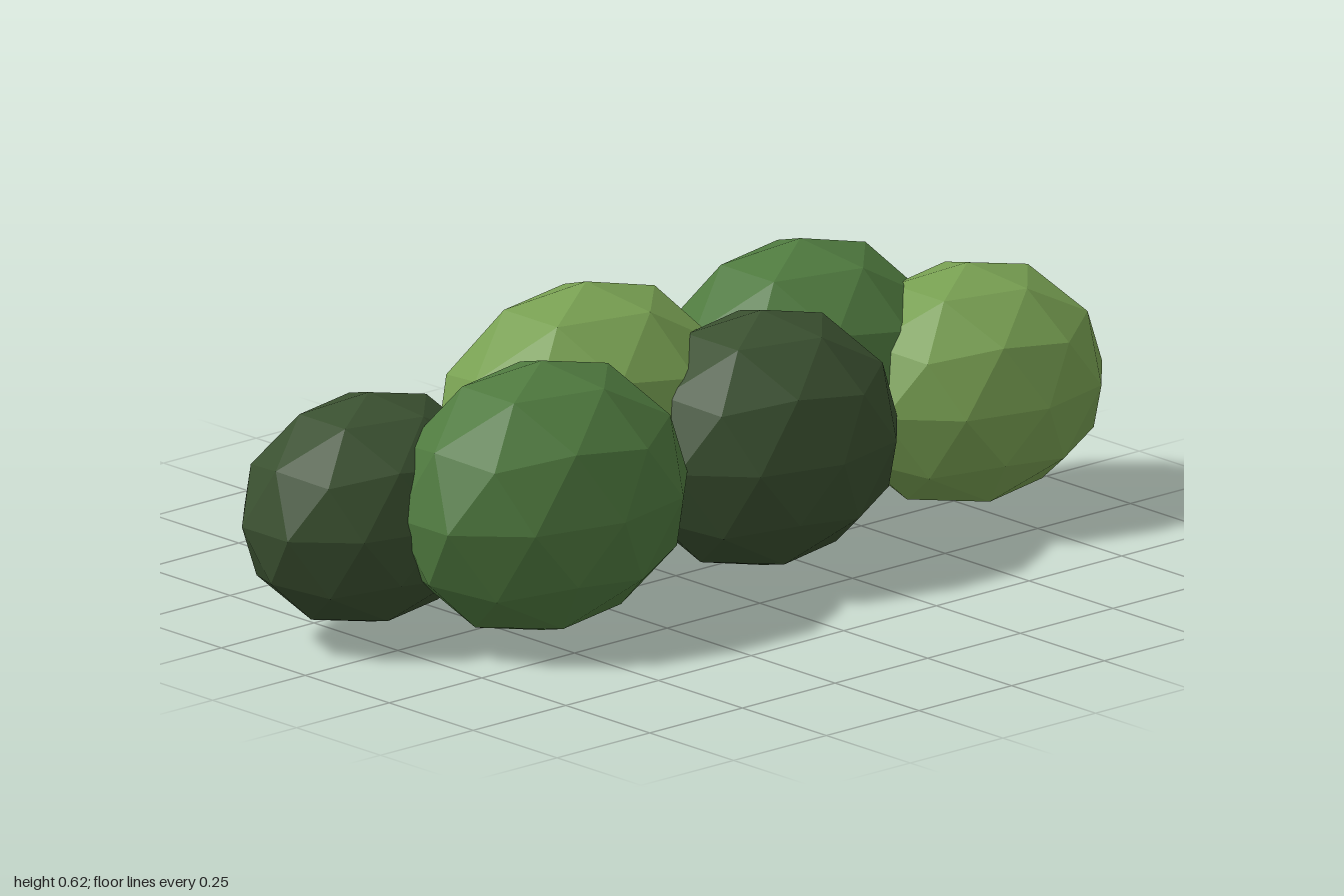
import * as THREE from 'three';

const paint = (name, color) => {
  const m = new THREE.MeshStandardMaterial({ color, flatShading: true });
  m.name = name;
  return m;
};

// Faceted ball with a vertex at each pole and a ten-sided equator
function facetedBall() {
  const g = new THREE.IcosahedronGeometry(1, 1);
  g.rotateX(-Math.atan((1 + Math.sqrt(5)) / 2));
  g.rotateY(Math.PI / 2);
  return g;
}

export function createModel() {
  const light = paint('light leaf green', 0x78a052);
  const mid = paint('mid leaf green', 0x4f7a3f);
  const dark = paint('dark leaf green', 0x3a5030);

  // name, material, centre, radii, tilt about x
  const clumps = [
    ['backLeafClumpRight', dark, [-0.72, 0.27, -0.12], [0.295, 0.24, 0.22], 0],
    ['backLeafClumpCentre', light, [-0.15, 0.315, -0.102], [0.352, 0.312, 0.257], 0],
    ['backLeafClumpLeft', mid, [0.415, 0.306, -0.088], [0.335, 0.297, 0.255], 0],
    ['frontLeafClumpRight', mid, [-0.47, 0.297, 0.119], [0.34, 0.282, 0.25], 0],
    ['frontLeafClumpCentre', dark, [0.137, 0.288, 0.104], [0.312, 0.267, 0.247], 0],
    ['frontLeafClumpLeft', light, [0.705, 0.283, 0.09], [0.31, 0.25, 0.245], 0],
    ['lowLeafClumpLeft', dark, [0.575, 0.212, -0.215], [0.212, 0.172, 0.158], -0.32],
    ['lowLeafClumpRight', dark, [-0.31, 0.205, -0.215], [0.207, 0.16, 0.158], -0.32],
  ];

  const bush = new THREE.Group();
  bush.name = 'bush';
  const ball = facetedBall();
  for (const [name, material, centre, radii, tilt] of clumps) {
    const clump = new THREE.Mesh(ball, material);
    clump.name = name;
    clump.position.set(...centre);
    clump.scale.set(...radii);
    clump.rotation.x = tilt;
    bush.add(clump);
  }
  return bush;
}
